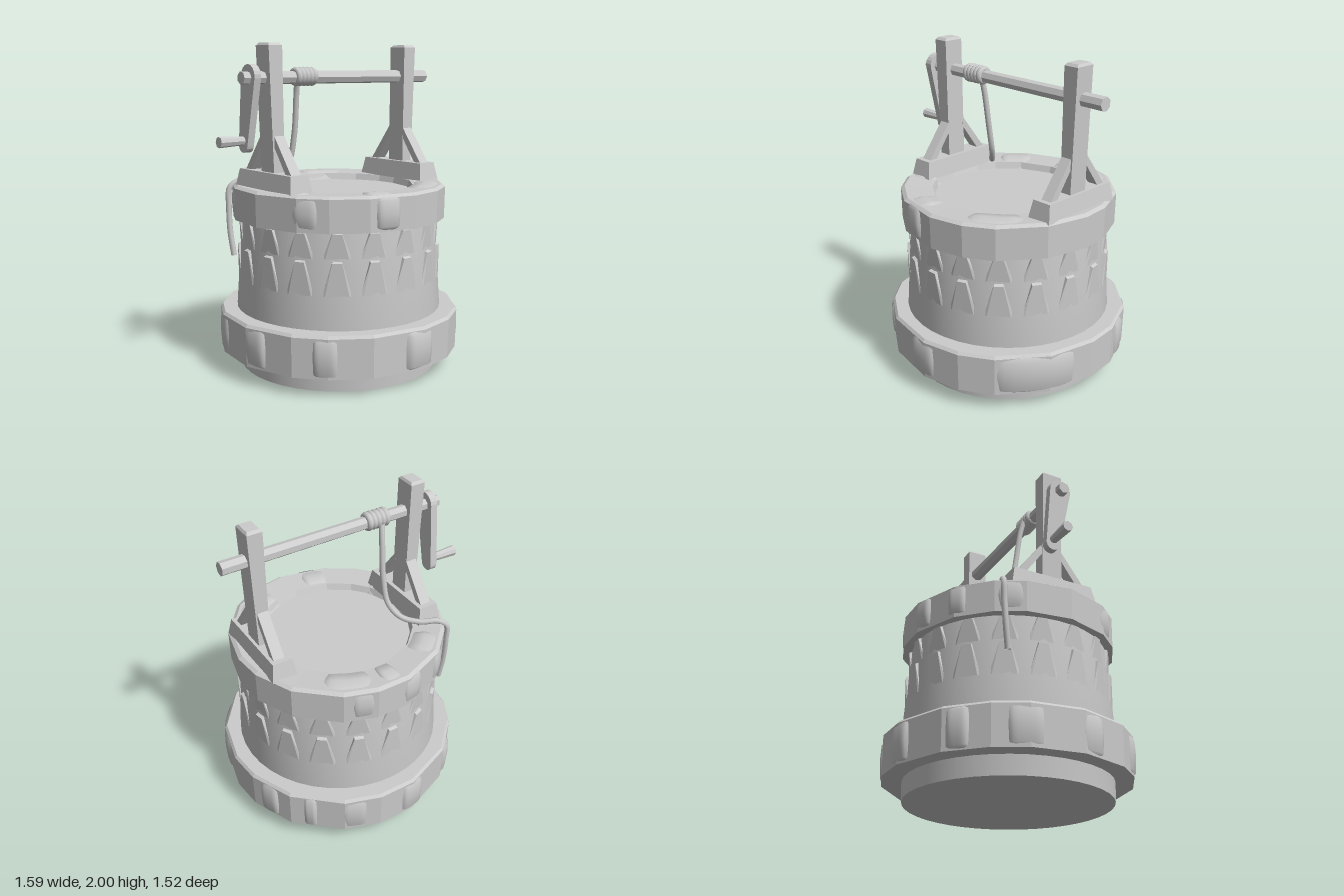
import * as THREE from 'three';
import { toCreasedNormals } from 'three/addons/utils/BufferGeometryUtils.js';

const smooth = new THREE.MeshStandardMaterial({ color: 0xcccccc, side: THREE.DoubleSide });
const flat = new THREE.MeshStandardMaterial({ color: 0xcccccc, flatShading: true });
const CX = 0.035; // axis of the stonework

function add(parent, name, geometry, material, x = 0, y = 0, z = 0) {
  const mesh = new THREE.Mesh(geometry, material);
  mesh.name = name;
  mesh.position.set(x, y, z);
  parent.add(mesh);
  return mesh;
}

const profile = (pts) => pts.map(([r, y]) => new THREE.Vector2(r, y));

function moveVertices(geometry, rule) {
  const p = geometry.attributes.position, v = new THREE.Vector3();
  for (let i = 0; i < p.count; i++) {
    rule(v.fromBufferAttribute(p, i));
    p.setXYZ(i, v.x, v.y, v.z);
  }
  geometry.computeVertexNormals();
  return geometry;
}

// Faceted ring with slightly uneven stone lengths
function roughRing(pts, sides) {
  return moveVertices(new THREE.LatheGeometry(profile(pts), sides), (v) => {
    const a = Math.atan2(v.x, v.z), r = Math.hypot(v.x, v.z);
    const b = a + 0.06 * Math.sin(5 * a + 1), s = r * (1 + 0.006 * Math.sin(3 * a));
    v.set(s * Math.sin(b), v.y, s * Math.cos(b));
  });
}

// Rounded stone on a ring: its ends sink inward (or down for a top stone)
function stone(pts, start, end, top) {
  const g = new THREE.LatheGeometry(profile(pts), 10, start, end - start);
  return moveVertices(g, (v) => {
    const r = Math.hypot(v.x, v.z), a = Math.atan2(v.x, v.z);
    const mid = (start + end) / 2;
    const d = Math.atan2(Math.sin(a - mid), Math.cos(a - mid));
    const sink = 0.035 * Math.pow(Math.abs((2 * d) / (end - start)), 6);
    if (top) v.y -= sink;
    else { v.x *= (r - sink) / r; v.z *= (r - sink) / r; }
  });
}

// Box whose bottom and top have different widths, depths and x offsets
function taperedBox(w0, d0, w1, d1, h, lean = 0) {
  return moveVertices(new THREE.BoxGeometry(1, 1, 1), (v) => {
    const t = v.y + 0.5;
    v.set(v.x * (w0 + (w1 - w0) * t) + lean * t, t * h, v.z * (d0 + (d1 - d0) * t));
  });
}

// Leaning trapezoid bricks, two rows around the wall
function wallBricks() {
  const pos = [], n = 18;
  const wallR = (y) => 0.648 - 0.07 * (y - 0.37);
  for (const [y0, y1] of [[0.57, 0.765], [0.785, 0.93]]) {
    for (let i = 0; i < n; i++) {
      const a = (i / n) * Math.PI * 2;
      const at = (da, y, out) => {
        const r = wallR(y) + out;
        return [r * Math.sin(a + da), y, r * Math.cos(a + da)];
      };
      const A = at(-0.11, y0, 0.002), B = at(0.11, y0, 0.002);
      const C = at(0.045, y1, 0.018), D = at(-0.045, y1, 0.018);
      const E = at(0.045, y1 + 0.01, -0.005), F = at(-0.045, y1 + 0.01, -0.005);
      const G = at(-0.14, y0, -0.005), H = at(0.14, y0, -0.005);
      pos.push(...A, ...B, ...C, ...A, ...C, ...D, ...D, ...C, ...E, ...D, ...E, ...F);
      pos.push(...G, ...A, ...D, ...G, ...D, ...F, ...B, ...H, ...C, ...H, ...E, ...C);
    }
  }
  const g = new THREE.BufferGeometry();
  g.setAttribute('position', new THREE.Float32BufferAttribute(pos, 3));
  g.computeVertexNormals();
  return g;
}

function buildStonework() {
  const well = new THREE.Group();
  well.name = 'stonework';
  well.position.x = CX;

  const wall = new THREE.LatheGeometry(profile([[0, 0], [0.625, 0], [0.63, 0.12], [0.648, 0.37], [0.608, 0.95]]), 40);
  add(well, 'wall', toCreasedNormals(wall, 0.6), smooth);
  add(well, 'wallBricks', wallBricks(), flat);
  add(well, 'baseRing', roughRing([[0.6, 0.115], [0.75, 0.115], [0.755, 0.355], [0.74, 0.372], [0.62, 0.372]], 17), flat);
  add(well, 'rimRing', roughRing([[0.58, 0.94], [0.665, 0.94], [0.668, 1.135], [0.645, 1.15], [0.47, 1.14], [0.445, 1.07]], 17), flat);
  const fill = add(well, 'wellFloor', new THREE.CircleGeometry(0.46, 40), smooth, 0, 1.1, 0);
  fill.rotation.x = -Math.PI / 2;

  // Rounded stones around the base
  const baseFace = [[0.73, 0.12], [0.753, 0.14], [0.761, 0.24], [0.757, 0.33], [0.73, 0.365]];
  const baseArcs = [[-0.9, -0.68], [-0.13, 0.17], [0.6, 1.38], [1.88, 2.08], [2.3, 2.42], [2.6, 2.85],
    [3.15, 3.4], [3.75, 3.95], [4.2, 4.5], [4.75, 5.0]];
  for (const [a, b] of baseArcs) add(well, 'baseStone', stone(baseFace, a, b), smooth);

  // Rounded stones on the outside and the top of the rim
  const rimFace = [[0.645, 0.95], [0.664, 0.97], [0.671, 1.04], [0.666, 1.12], [0.645, 1.142]];
  for (const [a, b] of [[-1.12, -0.85], [-0.37, -0.1], [2.7, 2.95], [3.2, 3.45], [3.65, 3.85], [4.1, 4.4]])
    add(well, 'rimFaceStone', stone(rimFace, a, b), smooth);
  const rimTop = [[0.65, 1.125], [0.63, 1.148], [0.55, 1.157], [0.48, 1.147], [0.45, 1.1]];
  for (const [a, b] of [[-0.45, -0.1], [0.3, 1.0], [2.4, 3.0], [3.02, 3.27], [3.6, 4.05], [5.0, 5.3]])
    add(well, 'rimTopStone', stone(rimTop, a, b, true), smooth);
  return well;
}

// Post with its foot beam and two braces
function buildSupport(name, beamX, postX, lean) {
  const g = new THREE.Group();
  g.name = name;
  add(g, 'footBeam', taperedBox(0.16, 0.57, 0.125, 0.525, 0.11), flat, beamX, 1.14, 0);
  add(g, 'post', taperedBox(0.075, 0.13, 0.095, 0.13, 0.77, lean), flat, postX, 1.215, 0.004);
  add(g, 'postCap', taperedBox(0.095, 0.13, 0.075, 0.1, 0.015), flat, postX + lean, 1.985, 0.004);
  for (const s of [-1, 1]) {
    const shape = new THREE.Shape(profile([[0.245, 1.23], [0.05, 1.49], [0.05, 1.425], [0.19, 1.23]].map(([z, y]) => [s * z, y])));
    const brace = new THREE.ExtrudeGeometry(shape, { depth: 0.07, bevelEnabled: false });
    brace.translate(0, 0, -0.035).rotateY(-Math.PI / 2);
    add(g, 'brace', brace, flat, postX, 0, 0);
  }
  return g;
}

function buildWindlass() {
  const g = new THREE.Group();
  g.name = 'windlass';
  const axle = new THREE.CylinderGeometry(0.042, 0.038, 1.45, 7, 1).rotateZ(-Math.PI / 2);
  add(g, 'axle', axle, flat, 0.045, 1.8, 0);

  // Crank arm with rounded ends, leaning backward, and its handle
  const arm = new THREE.Shape();
  arm.absarc(0, 0, 0.07, 0, Math.PI, false);
  arm.absarc(0, -0.4, 0.045, Math.PI, Math.PI * 2, false);
  const armGeo = new THREE.ExtrudeGeometry(arm, { depth: 0.045, bevelEnabled: false, curveSegments: 5 });
  armGeo.translate(0, 0, -0.0225).rotateY(-Math.PI / 2);
  add(g, 'crankArm', armGeo, flat, -0.612, 1.808, 0).rotation.x = 0.15;
  const handle = new THREE.CylinderGeometry(0.033, 0.024, 0.2, 8).rotateZ(Math.PI / 2);
  add(g, 'crankHandle', handle, flat, -0.7, 1.437, -0.058);

  // Rope turns around the axle
  for (let i = 0; i < 5; i++) {
    const turn = new THREE.TorusGeometry(0.038, 0.02, 8, 16).rotateY(Math.PI / 2);
    add(g, 'ropeTurn', turn, smooth, -0.293 + i * 0.029, 1.805, 0);
  }
  // Loose rope falling onto the rim and down the outside
  const path = new THREE.CatmullRomCurve3([
    [-0.25, 1.79, -0.045], [-0.242, 1.7, -0.065], [-0.235, 1.45, -0.1], [-0.25, 1.28, -0.14],
    [-0.31, 1.19, -0.2], [-0.4, 1.165, -0.275], [-0.5, 1.165, -0.325], [-0.555, 1.12, -0.345],
    [-0.562, 1.0, -0.345], [-0.562, 0.85, -0.335], [-0.55, 0.7, -0.315],
  ].map((p) => new THREE.Vector3(...p)));
  add(g, 'rope', new THREE.TubeGeometry(path, 60, 0.018, 8), smooth);
  return g;
}

export function createModel() {
  const model = new THREE.Group();
  model.name = 'well';
  model.add(
    buildStonework(),
    buildSupport('rightSupport', -0.467, -0.468, -0.02),
    buildSupport('leftSupport', 0.557, 0.562, 0.016),
    buildWindlass(),
  );
  return model;
}
